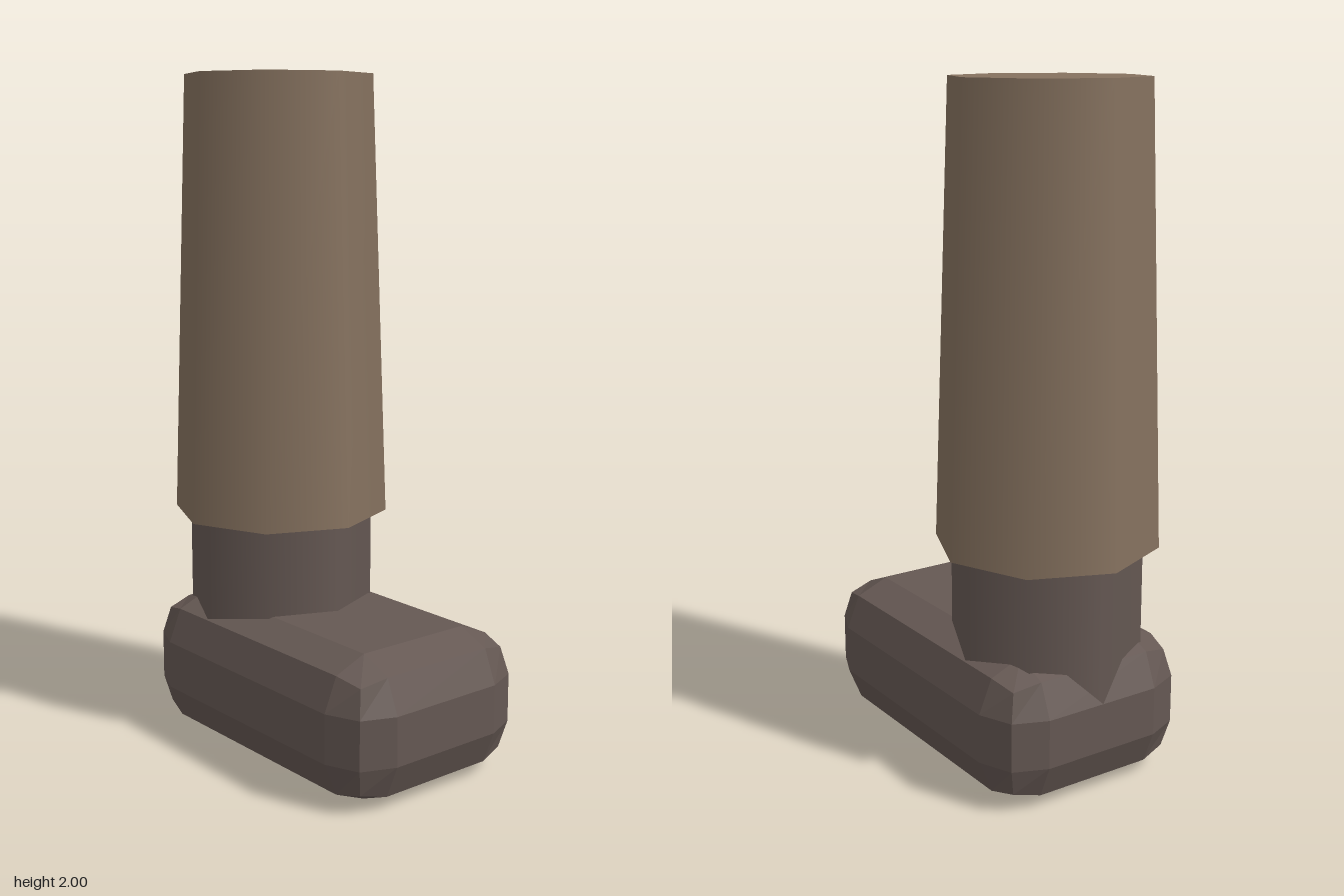
import * as THREE from 'three';
import { RoundedBoxGeometry } from 'three/addons/geometries/RoundedBoxGeometry.js';

export function createModel() {
  const group = new THREE.Group();
  group.name = 'bootedLeg';
  const legZ = -0.213;

  const add = (name, geometry, material, y, z) => {
    const mesh = new THREE.Mesh(geometry, material);
    mesh.name = name;
    mesh.position.set(0, y, z);
    group.add(mesh);
  };

  // Eight-sided upright tube between two heights
  const tube = (name, rTop, rBottom, y0, y1, material) =>
    add(name, new THREE.CylinderGeometry(rTop, rBottom, y1 - y0, 8), material, (y0 + y1) / 2, legZ);

  const cloth = new THREE.MeshStandardMaterial({ color: 0x86725f });
  const leather = new THREE.MeshStandardMaterial({ color: 0x655853 });
  const flatLeather = new THREE.MeshStandardMaterial({ color: 0x655853, flatShading: true });

  // Trouser leg, widening towards the hem
  tube('trouserLeg', 0.28, 0.326, 0.69, 2, cloth);

  // Boot shaft, sunk into the foot
  tube('bootShaft', 0.28, 0.28, 0.2, 0.75, leather);

  // Chamfered boot foot, reaching forward
  add('bootFoot', new RoundedBoxGeometry(0.652, 0.425, 1.033, 1, 0.14), flatLeather, 0.2125, 0.0235);

  return group;
}
